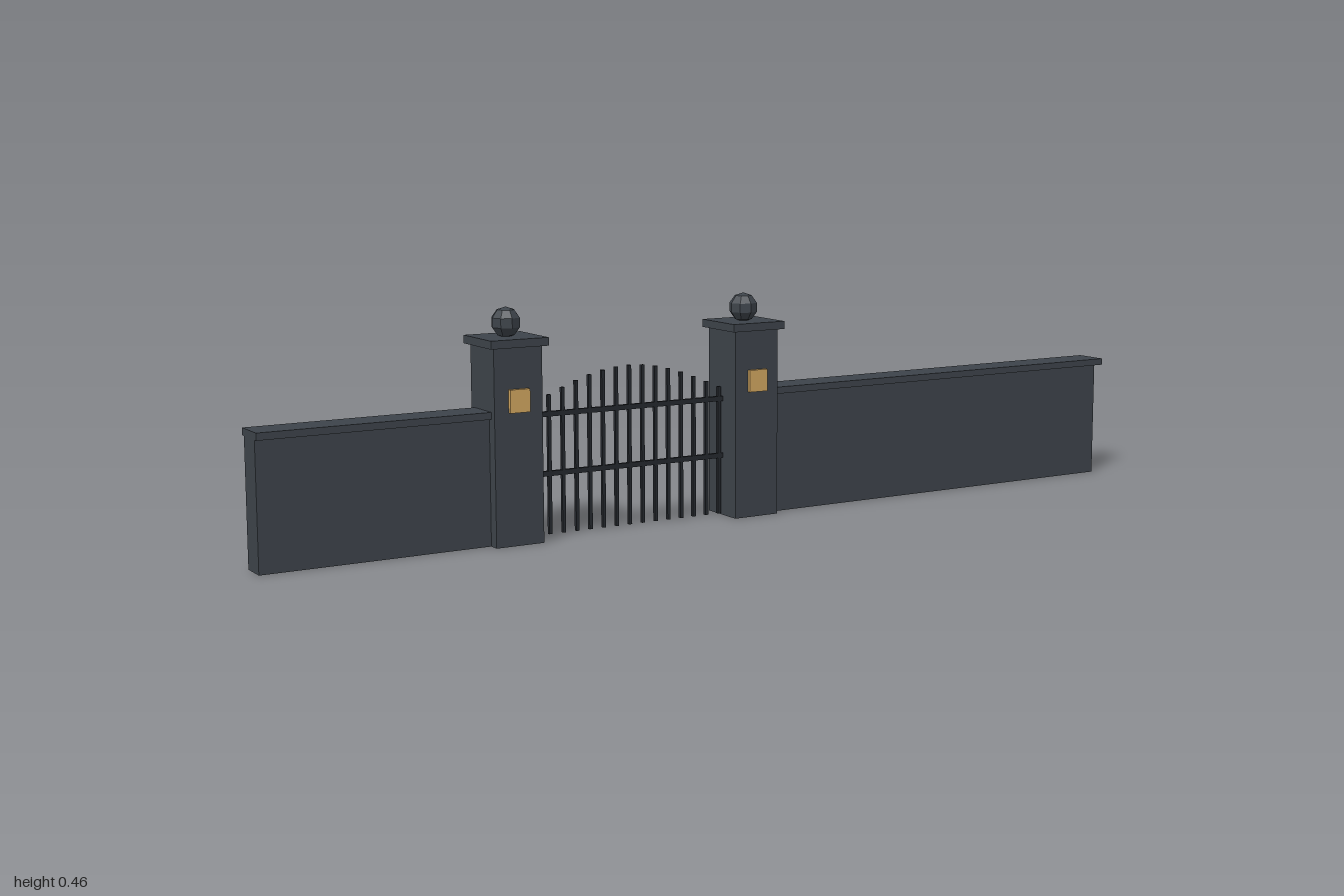
import * as THREE from 'three';

export function createModel() {
  const stone = new THREE.MeshStandardMaterial({ color: 0x3d434a, flatShading: true });
  stone.name = 'slate stone';
  const iron = new THREE.MeshStandardMaterial({ color: 0x24282d });
  iron.name = 'dark iron';
  const brass = new THREE.MeshStandardMaterial({ color: 0xd0a560 });
  brass.name = 'brass';

  const model = new THREE.Group();
  model.name = 'gateway';

  // Box given by its lower and upper limits on each axis
  function box(name, parent, material, [x0, x1], [y0, y1], [z0, z1]) {
    const mesh = new THREE.Mesh(new THREE.BoxGeometry(x1 - x0, y1 - y0, z1 - z0), material);
    mesh.position.set((x0 + x1) / 2, (y0 + y1) / 2, (z0 + z1) / 2);
    mesh.name = name;
    parent.add(mesh);
  }

  // Walls with overhanging coping
  function wall(name, body, top) {
    const group = new THREE.Group();
    group.name = name;
    box('wallBody', group, stone, body, [0, 0.248], [-0.028, 0.028]);
    box('coping', group, stone, top, [0.248, 0.262], [-0.037, 0.037]);
    model.add(group);
  }
  wall('rightWall', [-1, -0.53], [-1, -0.53]);
  wall('leftWall', [0.095, 0.985], [0.095, 1]);

  // Pillars with cap, faceted ball and front plaque
  function pillar(name, x) {
    const group = new THREE.Group();
    group.name = name;
    group.position.x = x;
    box('post', group, stone, [-0.051, 0.051], [0, 0.385], [-0.051, 0.051]);
    box('cap', group, stone, [-0.061, 0.061], [0.385, 0.401], [-0.061, 0.061]);
    box('plaque', group, brass, [-0.021, 0.021], [0.26, 0.305], [0.051, 0.059]);
    const ball = new THREE.Mesh(new THREE.SphereGeometry(0.03, 8, 5), stone);
    ball.position.y = 0.428;
    ball.name = 'ballFinial';
    group.add(ball);
    model.add(group);
  }
  pillar('rightPillar', -0.486);
  pillar('leftPillar', 0.053);

  // Gate: bars rising to an arch, joined by two rails
  const gate = new THREE.Group();
  gate.name = 'gate';
  const count = 15, start = -0.426, end = -0.007, half = 0.0035;
  for (let i = 0; i < count; i++) {
    const t = i / (count - 1);
    const x = start + (end - start) * t;
    const height = 0.268 + 0.059 * Math.sin(Math.PI * t);
    box('gateBar', gate, iron, [x - half, x + half], [0.004, height], [-half, half]);
  }
  for (const y of [0.125, 0.243]) {
    box('gateRail', gate, iron, [-0.435, 0.002], [y - 0.005, y + 0.005], [-0.004, 0.004]);
  }
  model.add(gate);

  return model;
}
